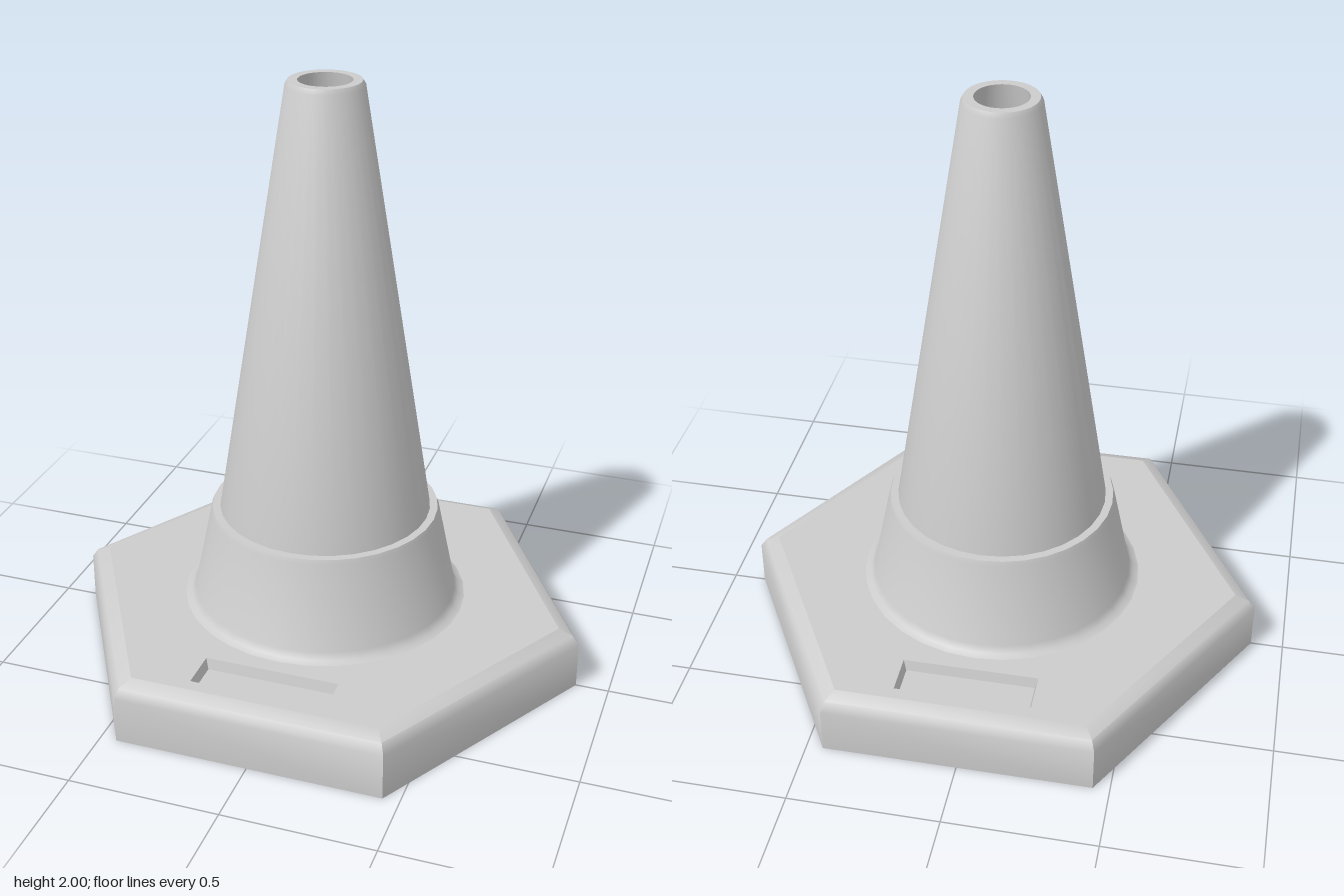
import * as THREE from 'three';
import { toCreasedNormals } from 'three/addons/utils/BufferGeometryUtils.js';

const SIDES = 32;      // facets around the cone
const TOP = 0.21;      // height of the base's top face
const SLOT = { x: 0.225, z: 0.6, half: 0.067, depth: 0.035, taper: 0.01 };

const vectors = (list) => list.map(([x, y]) => new THREE.Vector2(x, y));

// Regular polygon outline with a corner on +x
function ring(radius, count) {
  return Array.from({ length: count }, (_, i) => {
    const a = (i / count) * Math.PI * 2;
    return new THREE.Vector2(Math.cos(a) * radius, Math.sin(a) * radius);
  });
}

function turned(profile, sides, crease) {
  return toCreasedNormals(new THREE.LatheGeometry(vectors(profile), sides, Math.PI / 2), crease);
}

// Open-topped recess with slightly sloping walls
function recess() {
  const { x, half, depth, taper } = SLOT;
  const loop = (w, d, y) => [-w, y, d, w, y, d, w, y, -d, -w, y, -d];
  const index = [4, 5, 6, 4, 6, 7];
  for (let i = 0; i < 4; i++) {
    const j = (i + 1) % 4;
    index.push(i, j, j + 4, i, j + 4, i + 4);
  }
  const g = new THREE.BufferGeometry();
  g.setAttribute('position', new THREE.Float32BufferAttribute(
    [...loop(x, half, 0), ...loop(x - taper, half - taper, -depth)], 3));
  g.setIndex(index);
  return toCreasedNormals(g, 0.3);
}

export function createModel() {
  const model = new THREE.Group();
  const grey = new THREE.MeshStandardMaterial({ color: 0xcccccc });
  const add = (name, geometry, parent = model) => {
    const mesh = new THREE.Mesh(geometry, grey);
    mesh.name = name;
    parent.add(mesh);
    return mesh;
  };

  const base = new THREE.Group();
  base.name = 'base';
  model.add(base);

  // Hexagonal rim with a rounded upper edge
  add('baseRim', turned([[0.89, 0], [0.89, 0.16], [0.868, 0.192], [0.82, TOP]], 6, 0.8), base);

  // Top face, pierced for the cone and the two slots
  const topShape = new THREE.Shape(ring(0.82, 6));
  topShape.holes.push(new THREE.Path(ring(0.48, SIDES)));
  for (const side of [-1, 1]) {
    const { x, z, half } = SLOT;
    topShape.holes.push(new THREE.Path(vectors([
      [-x, side * z - half], [x, side * z - half], [x, side * z + half], [-x, side * z + half],
    ])));
    add(side > 0 ? 'frontSlot' : 'backSlot', recess(), base).position.set(0, TOP, side * z);
  }
  add('baseTop', new THREE.ShapeGeometry(topShape).rotateX(-Math.PI / 2).translate(0, TOP, 0), base);

  // Underside with the round opening
  const underShape = new THREE.Shape(ring(0.89, 6));
  underShape.holes.push(new THREE.Path(ring(0.52, SIDES)));
  add('baseUnderside', new THREE.ShapeGeometry(underShape).rotateX(Math.PI / 2), base);

  // Collar with a fillet at its foot and a ledge on top
  add('collar', turned([
    [0.48, TOP], [0.46, 0.218], [0.446, 0.24], [0.386, 0.53], [0.38, 0.545], [0.354, 0.545],
  ], SIDES, 0.75));

  // Tapered cone and its open tip
  add('cone', turned([
    [0.354, 0.545], [0.124, 1.985], [0.115, 2], [0.085, 2],
  ], SIDES, 0.6));

  // Hollow inside, from the tip down to the opening
  add('coneInside', turned([
    [0.085, 2], [0.325, 0.545], [0.41, 0.21], [0.52, 0],
  ], SIDES, 0.6));

  return model;
}
